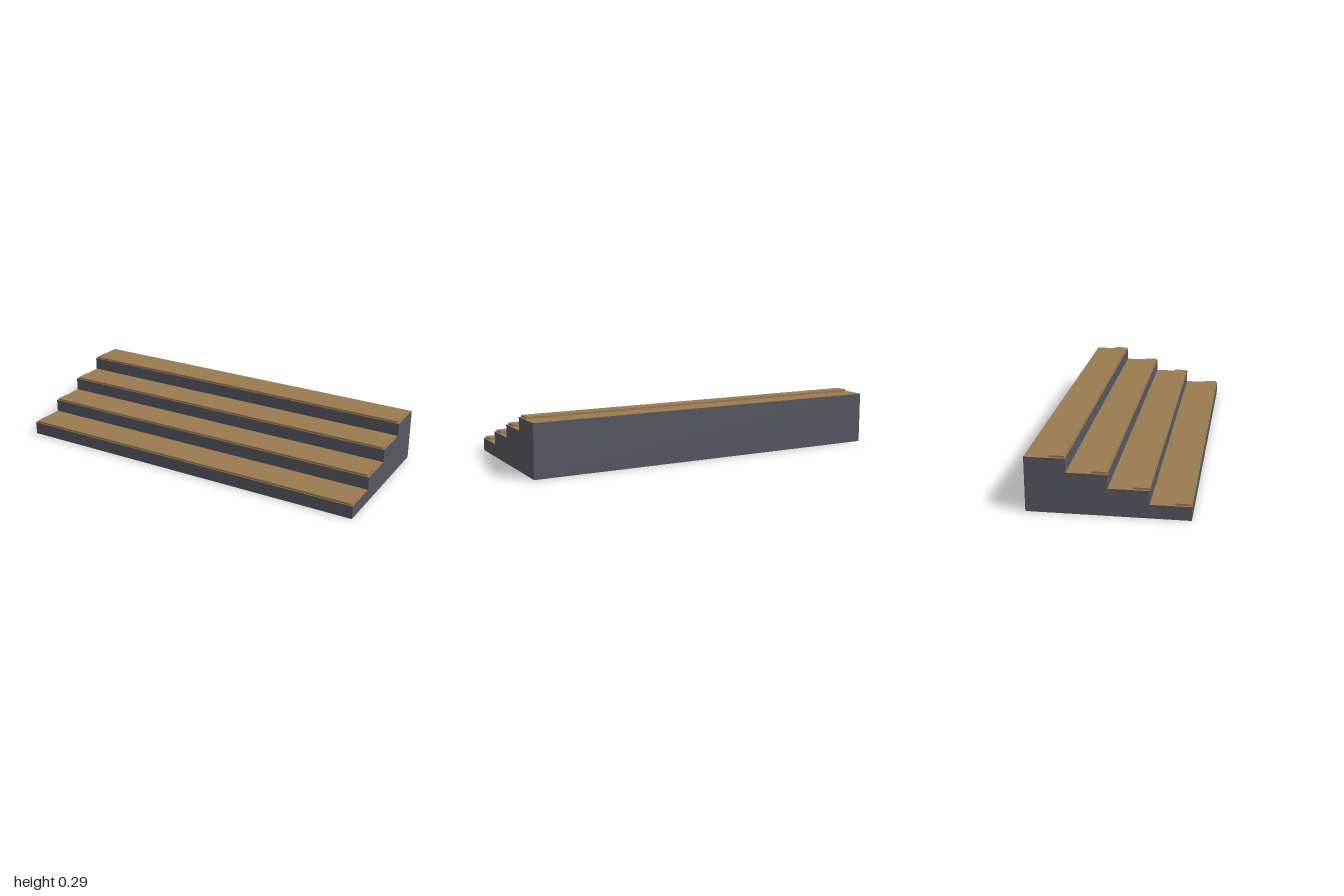
import * as THREE from 'three';

export function createModel() {
  const group = new THREE.Group();
  const grey = new THREE.MeshStandardMaterial({ color: 0x555861, side: THREE.DoubleSide });
  grey.name = 'slate grey';
  const wood = new THREE.MeshStandardMaterial({ color: 0x997950, side: THREE.DoubleSide });
  wood.name = 'warm wood';

  const steps = 4, width = 2, rise = 0.07, run = 0.2, front = 0.4;

  const add = (name, geometry, material, x, y, z) => {
    const mesh = new THREE.Mesh(geometry, material);
    mesh.name = name;
    mesh.position.set(x, y, z);
    group.add(mesh);
    return mesh;
  };

  // Stepped outline of the side panels, drawn with -z to the right
  const outline = new THREE.Shape();
  outline.moveTo(-front, 0);
  for (let i = 0; i < steps; i++) {
    outline.lineTo(-front + i * run, (i + 1) * rise);
    outline.lineTo(-front + (i + 1) * run, (i + 1) * rise);
  }
  outline.lineTo(front, 0);

  // Thin side panels
  for (const side of [-1, 1]) {
    const panel = add(side > 0 ? 'leftSidePanel' : 'rightSidePanel',
      new THREE.ShapeGeometry(outline), grey, side * width / 2, 0, 0);
    panel.rotation.y = Math.PI / 2;
  }

  // Back panel; the underside stays open
  add('backPanel', new THREE.PlaneGeometry(width, steps * rise).rotateY(Math.PI),
    grey, 0, steps * rise / 2, -front);

  // Riser, tread and raised nosing strip of each step
  for (let i = 0; i < steps; i++) {
    const y = (i + 1) * rise;
    const z = front - i * run;
    add('riser' + (i + 1), new THREE.PlaneGeometry(width, rise), grey, 0, y - rise / 2, z);
    add('tread' + (i + 1), new THREE.PlaneGeometry(width, run).rotateX(-Math.PI / 2),
      wood, 0, y, z - run / 2);
    add('nosing' + (i + 1), new THREE.BoxGeometry(1.98, 0.01, 0.075),
      wood, 0, y + 0.005, z - 0.0425);
  }

  return group;
}
